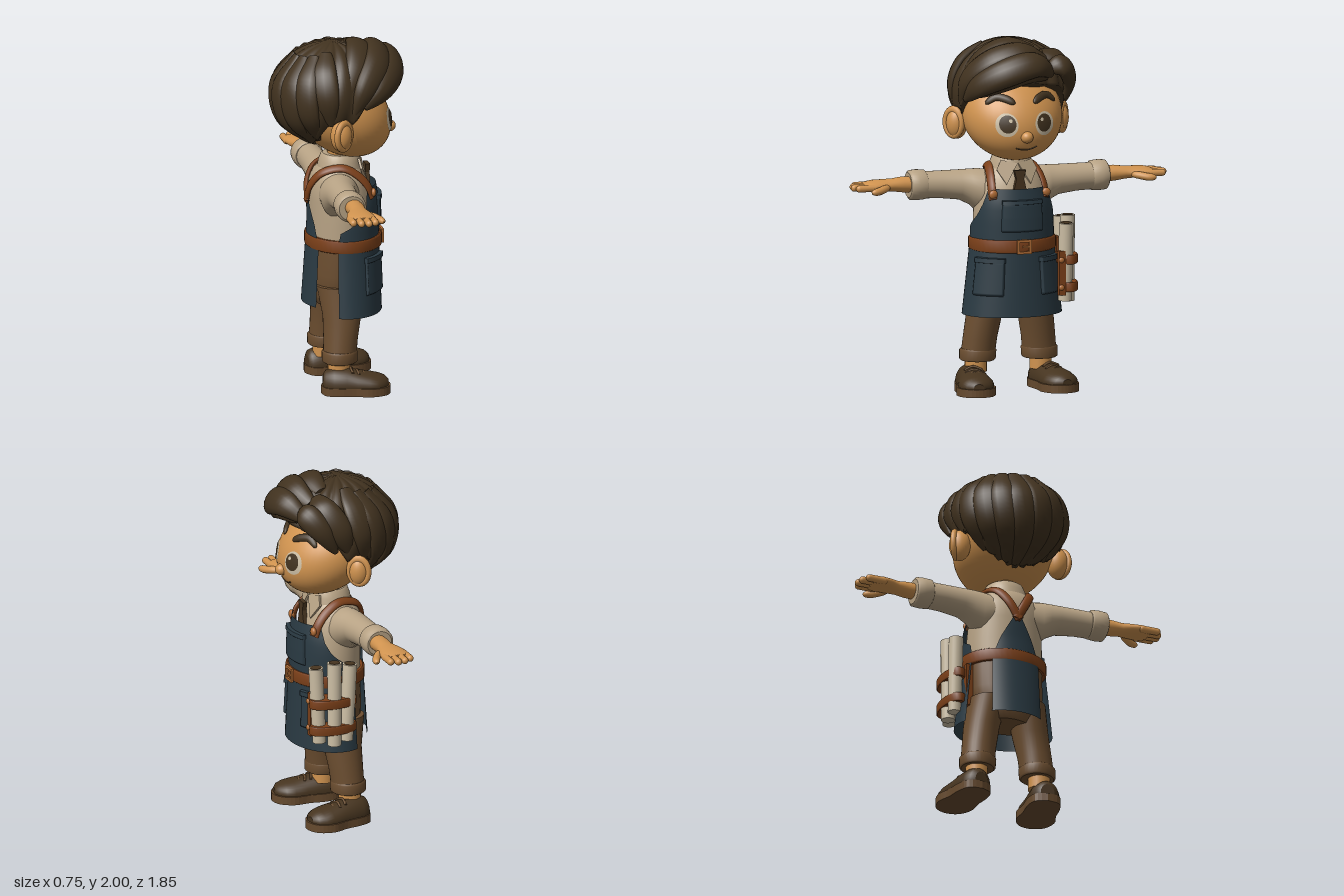
import * as THREE from 'three';

const V = (x, y, z) => new THREE.Vector3(x, y, z);
const RAD = Math.PI / 180;

// Skin a list of point rows; closed rows wrap round and get end caps
function skinRows(rows, closed = true) {
  const n = rows[0].length, pos = [], idx = [];
  rows.forEach(r => r.forEach(p => pos.push(p.x, p.y, p.z)));
  for (let r = 0; r < rows.length - 1; r++)
    for (let s = 0; s < (closed ? n : n - 1); s++) {
      const t = (s + 1) % n, a = r * n + s, b = a + n, c = (r + 1) * n + t, d = r * n + t;
      idx.push(a, b, c, a, c, d);
    }
  if (closed) [rows[0], rows[rows.length - 1]].forEach((row, end) => {
    const base = pos.length / 3, mid = V(0, 0, 0);
    row.forEach(p => { pos.push(p.x, p.y, p.z); mid.addScaledVector(p, 1 / n); });
    pos.push(mid.x, mid.y, mid.z);
    for (let s = 0; s < n; s++) {
      const t = (s + 1) % n;
      idx.push(base + n, base + (end ? t : s), base + (end ? s : t));
    }
  });
  const g = new THREE.BufferGeometry();
  g.setAttribute('position', new THREE.Float32BufferAttribute(pos, 3));
  g.setIndex(idx);
  g.computeVertexNormals();
  return g;
}

// Elliptical rings along an axis: y [t, x, z, rx, rz], x [t, y, z, ry, rz], z [t, x, y, rx, ry]
function loft(axis, rings, n = 32) {
  return skinRows(rings.map(([t, u, v, ru, rv]) => Array.from({ length: n }, (_, i) => {
    const c = Math.cos(i / n * 2 * Math.PI), s = Math.sin(i / n * 2 * Math.PI);
    if (axis === 'y') return V(u + ru * c, t, v + rv * s);
    if (axis === 'x') return V(t, u + ru * s, v + rv * c);
    return V(u + ru * s, v + rv * c, t);
  })));
}

// Flattened tube along a curve, lying flat around a centre
function sweep(points, centre, w, h, taper = () => 1, steps = 24, n = 12) {
  const curve = new THREE.CatmullRomCurve3(points.map(p => V(...p)));
  const rows = [];
  for (let i = 0; i <= steps; i++) {
    const t = i / steps, p = curve.getPoint(t), T = curve.getTangent(t), k = taper(t);
    const N = p.clone().sub(centre);
    N.addScaledVector(T, -N.dot(T)).normalize();
    const B = T.clone().cross(N);
    rows.push(Array.from({ length: n }, (_, j) => p.clone()
      .addScaledVector(B, k * w * Math.cos(j / n * 2 * Math.PI))
      .addScaledVector(N, k * h * Math.sin(j / n * 2 * Math.PI))));
  }
  return skinRows(rows);
}

function table(rows, x) {
  let i = 0;
  while (i < rows.length - 2 && x > rows[i + 1][0]) i++;
  const a = rows[i], b = rows[i + 1], f = THREE.MathUtils.clamp((x - a[0]) / (b[0] - a[0]), 0, 1);
  return a.map((v, k) => v + (b[k] - v) * f);
}

const flat = (pts, depth) => new THREE.ExtrudeGeometry(new THREE.Shape(pts.map(p => new THREE.Vector2(...p))), { depth, bevelEnabled: false });
const ball = (x, y, z, rx, ry, rz) => new THREE.SphereGeometry(1, 28, 20).scale(rx, ry, rz).translate(x, y, z);
const lockTaper = t => Math.pow(Math.sin(Math.PI * (0.1 + 0.87 * t)), 0.7);
const capTaper = t => Math.sqrt(Math.max(0.02, 1 - Math.pow(2 * t - 1, 4)));

export function createModel() {
  const root = new THREE.Group(), body = new THREE.Group();
  body.name = 'craftsman';
  body.rotation.y = Math.PI / 2;
  root.add(body);
  const mat = (name, color, side = THREE.FrontSide) => {
    const m = new THREE.MeshStandardMaterial({ color, side });
    m.name = name;
    return m;
  };
  const skin = mat('skin', 0xd0934f), hair = mat('dark brown hair', 0x41321f), shirt = mat('beige shirt', 0xb8a385);
  const cloth = mat('slate apron', 0x2a3a43, THREE.DoubleSide), trouser = mat('brown trousers', 0x6c4e30);
  const leather = mat('rust leather', 0x7c4019), shoe = mat('shoe brown', 0x46341f), sole = mat('sole brown', 0x664a2e);
  const paper = mat('pale paper', 0xcdbfa5), copper = mat('copper', 0xb06c35);
  const add = (name, geo, m) => {
    const mesh = new THREE.Mesh(geo, m);
    mesh.name = name;
    body.add(mesh);
  };
  // Adds a part and its mirror image with corrected winding
  const pair = (name, geo, m) => {
    add(name + 'Left', geo, m);
    const g = geo.clone().applyMatrix4(new THREE.Matrix4().makeScale(-1, 1, 1));
    const ix = g.index ? Array.from(g.index.array) : Array.from({ length: g.attributes.position.count }, (_, i) => i);
    for (let i = 0; i < ix.length; i += 3) [ix[i], ix[i + 1]] = [ix[i + 1], ix[i]];
    g.setIndex(ix);
    add(name + 'Right', g, m);
  };

  // Head and face
  const headZ = (x, y) => 0.02 + 0.27 * Math.sqrt(Math.max(0, 1 - (x / 0.285) ** 2 - ((y - 1.57) / 0.26) ** 2)) + 0.3 * (1.57 - y);
  const head = new THREE.SphereGeometry(1, 48, 36).scale(0.285, 0.26, 0.27);
  const hp = head.attributes.position;
  for (let i = 0; i < hp.count; i++) hp.setZ(i, hp.getZ(i) - 0.3 * hp.getY(i));
  head.computeVertexNormals();
  add('head', head.translate(0, 1.57, 0.02), skin);
  add('neck', new THREE.CylinderGeometry(0.075, 0.08, 0.18, 24).translate(0, 1.27, 0.02), skin);
  add('nose', ball(0, 1.465, 0.297, 0.035, 0.033, 0.036), skin);
  pair('ear', ball(0.297, 1.51, -0.045, 0.06, 0.09, 0.06), skin);
  pair('earRim', new THREE.TorusGeometry(0.055, 0.017, 10, 28).scale(1, 1.3, 1).rotateY(0.95).translate(0.32, 1.515, -0.035), skin);
  const decal = (x, y, rx, ry, off) => {
    const g = new THREE.RingGeometry(0.001, 1, 32, 5).scale(rx, ry, 1).translate(x, y, 0), p = g.attributes.position;
    for (let i = 0; i < p.count; i++) p.setZ(i, headZ(p.getX(i), p.getY(i)) + off);
    g.computeVertexNormals();
    return g;
  };
  pair('eyeWhite', decal(0.11, 1.535, 0.06, 0.066, 0.003), paper);
  pair('iris', decal(0.107, 1.54, 0.045, 0.05, 0.006), hair);
  pair('eyeGlint', decal(0.092, 1.56, 0.01, 0.01, 0.009), paper);
  const onFace = (pts, off) => pts.map(([x, y]) => [x, y, headZ(x, y) + off]);
  const face = V(0, 1.55, 0);
  pair('eyebrow', sweep(onFace([[0.055, 1.65], [0.1, 1.675], [0.15, 1.682], [0.205, 1.645]], 0.006), face, 0.022, 0.014, capTaper), hair);
  add('mouth', sweep(onFace([[-0.055, 1.4], [-0.02, 1.392], [0.02, 1.392], [0.065, 1.407]], 0), face, 0.004, 0.004), shoe);

  // Hair cap: ridged ellipsoid with a hairline that varies round the head
  const hairAt = (a, polar, k = 1) => V(0.315 * k * Math.sin(polar) * Math.sin(a), 1.68 + 0.3 * k * Math.cos(polar), -0.03 + 0.325 * k * Math.sin(polar) * Math.cos(a));
  const line = [[0, 1.77], [45, 1.73], [68, 1.67], [80, 1.57], [90, 1.6], [105, 1.57], [125, 1.45], [150, 1.41], [180, 1.4]];
  const hairEdge = a => Math.acos((table(line, Math.abs(Math.atan2(Math.sin(a), Math.cos(a))) / RAD)[1] - 1.68) / 0.3);
  const capRows = [];
  for (let r = 0; r <= 28; r++) capRows.push(Array.from({ length: 144 }, (_, i) => {
    const a = i / 144 * 2 * Math.PI, v = Math.max(0.02, Math.min(1, r / 26));
    const ridge = 0.05 * (Math.abs(Math.sin(8 * a + 2.5 * v)) - 0.5) * Math.min(1, 2.5 * v);
    return hairAt(a, hairEdge(a) * v, r > 26 ? 1 - 0.14 * (r - 26) : 1 + ridge);
  }));
  add('hairCap', skinRows(capRows), hair);
  const skull = V(0, 1.65, 0);
  const locks = [
    [[[0.13, 1.8, 0.25], [0, 1.82, 0.29], [-0.14, 1.77, 0.26], [-0.25, 1.69, 0.17]], 0.06, 0.04],
    [[[0.16, 1.82, 0.24], [0.05, 1.87, 0.295], [-0.12, 1.83, 0.285], [-0.25, 1.75, 0.2], [-0.295, 1.66, 0.09]], 0.085, 0.055],
    [[[0.14, 1.88, 0.18], [0, 1.925, 0.22], [-0.17, 1.88, 0.19], [-0.28, 1.77, 0.1], [-0.3, 1.63, 0.03]], 0.085, 0.05],
    [[[0.1, 1.93, 0.1], [-0.05, 1.955, 0.11], [-0.2, 1.88, 0.07], [-0.3, 1.73, -0.02]], 0.08, 0.04],
    [[[0.15, 1.84, 0.24], [0.22, 1.85, 0.24], [0.285, 1.77, 0.18], [0.295, 1.63, 0.09]], 0.07, 0.045],
    [[[0.13, 1.91, 0.15], [0.23, 1.87, 0.14], [0.3, 1.76, 0.07], [0.3, 1.62, 0.01]], 0.08, 0.04],
  ];
  locks.forEach(([pts, w, h], i) => add('frontLock' + (i + 1), sweep(pts, skull, w, h, lockTaper, 32, 16), hair));
  for (let i = 0; i < 9; i++) {
    const a = (102 + i * 19.5) * RAD, e = hairEdge(a);
    const pts = [0.25, 0.5, 0.75, 1.02].map((f, k) => hairAt(a - 0.25 + 0.08 * k, e * f, 1).toArray());
    add('backLock' + (i + 1), sweep(pts, skull, 0.075, 0.032, lockTaper, 24, 12), hair);
  }

  // Shirt
  add('shirtBody', loft('y', [[0.78, 0, 0.02, 0.215, 0.175], [0.95, 0, 0.02, 0.218, 0.177], [1.08, 0, 0.01, 0.21, 0.17], [1.17, 0, 0, 0.2, 0.16],
    [1.23, 0, 0, 0.165, 0.135], [1.27, 0, 0.01, 0.12, 0.11], [1.3, 0, 0.02, 0.08, 0.08]], 40), shirt);
  pair('sleeve', loft('x', [[0.1, 1.13, -0.02, 0.11, 0.11], [0.18, 1.125, -0.025, 0.125, 0.11], [0.23, 1.148, -0.035, 0.1, 0.095],
    [0.29, 1.162, -0.04, 0.084, 0.085], [0.4, 1.168, -0.045, 0.077, 0.077], [0.52, 1.17, -0.045, 0.075, 0.075]]), shirt);
  pair('sleeveCuff', loft('x', [[0.482, 1.172, -0.05, 0.072, 0.074], [0.49, 1.172, -0.05, 0.083, 0.085], [0.535, 1.172, -0.05, 0.086, 0.088],
    [0.573, 1.172, -0.05, 0.083, 0.085], [0.582, 1.172, -0.05, 0.07, 0.072]]), shirt);
  add('collar', loft('y', [[1.235, 0, 0.01, 0.135, 0.125], [1.29, 0, 0.012, 0.118, 0.118], [1.325, 0, 0.015, 0.104, 0.108], [1.332, 0, 0.015, 0.094, 0.098]]), shirt);
  pair('collarPoint', flat([[0.008, 0.12], [0.07, 0], [0.125, 0.085], [0.1, 0.14]], 0.014).rotateX(-0.3).rotateY(0.25).translate(0, 1.175, 0.16), shirt);
  add('tie', flat([[-0.034, 1.26], [-0.022, 1.21], [-0.042, 1.13], [0.042, 1.13], [0.022, 1.21], [0.034, 1.26]], 0.025).translate(0, 0, 0.155), shoe);

  // Forearms and hands
  pair('hand', loft('x', [[0.5, 1.175, -0.04, 0.045, 0.045], [0.62, 1.18, -0.038, 0.044, 0.052], [0.68, 1.18, -0.04, 0.036, 0.05], [0.73, 1.18, -0.045, 0.033, 0.068],
    [0.79, 1.18, -0.047, 0.031, 0.08], [0.83, 1.178, -0.047, 0.025, 0.078], [0.845, 1.178, -0.047, 0.015, 0.065]]), skin);
  [[-0.108, 0.895], [-0.067, 0.918], [-0.026, 0.925], [0.014, 0.908]].forEach(([z, tip], i) =>
    pair('finger' + (i + 1), new THREE.CapsuleGeometry(0.02, 0.09, 6, 14).rotateZ(Math.PI / 2).translate(tip - 0.065, 1.176, z), skin));
  pair('thumb', sweep([[0.71, 1.175, 0], [0.75, 1.17, 0.035], [0.79, 1.163, 0.06], [0.835, 1.16, 0.075]], V(0.75, 1, 0), 0.022, 0.021, capTaper), skin);

  // Apron, as rows of height, radii, centre and wrap angle
  const apronRows = [[0.44, 0.285, 0.215, 0.03, 112], [0.85, 0.238, 0.2, 0.03, 112], [0.92, 0.237, 0.2, 0.03, 108], [0.96, 0.236, 0.2, 0.03, 88],
    [1.0, 0.234, 0.2, 0.03, 74], [1.07, 0.225, 0.198, 0.03, 63], [1.16, 0.202, 0.185, 0.03, 57]];
  const backRows = [[0.48, 0.24, 0.215, 0.015, 38], [0.83, 0.235, 0.195, 0.02, 36], [0.95, 0.23, 0.188, 0.02, 24], [1.09, 0.22, 0.182, 0.01, 4]];
  const panel = (rows, y0, y1, lo, hi, off = 0, dir = 1) => skinRows(Array.from({ length: 25 }, (_, r) => {
    const y = y0 + (y1 - y0) * r / 24, [, rx, rz, cz, wrap] = table(rows, y);
    return Array.from({ length: 33 }, (_, s) => {
      const a = RAD * (lo === undefined ? wrap * (1 - s / 16) : hi + (lo - hi) * s / 32);
      const o = r % 24 === 0 || s % 32 === 0 ? 0 : off;
      return V((rx + o) * Math.sin(a) * dir, y, cz + dir * (rz + o) * Math.cos(a));
    });
  }), false);
  add('apronFront', panel(apronRows, 0.44, 1.16), cloth);
  add('apronBack', panel(backRows, 0.48, 1.09, undefined, undefined, 0, -1), cloth);
  add('bibPocket', panel(apronRows, 0.92, 1.09, -30, 30, 0.014), cloth);
  add('bibPocketHem', panel(apronRows, 1.075, 1.1, -31, 31, 0.022), cloth);
  pair('skirtPocket', panel(apronRows, 0.56, 0.76, 24, 68, 0.014), cloth);
  pair('skirtPocketHem', panel(apronRows, 0.745, 0.775, 23, 69, 0.022), cloth);

  // Shoulder straps, belt and buckle
  pair('shoulderStrap', sweep([[0.155, 1.1, 0.165], [0.155, 1.17, 0.138], [0.145, 1.235, 0.078], [0.13, 1.272, 0], [0.1, 1.245, -0.11], [0.05, 1.165, -0.165], [-0.01, 1.06, -0.175]],
    V(0, 1.1, 0), 0.026, 0.013, undefined, 40), leather);
  pair('strapButton', ball(0.155, 1.13, 0.17, 0.025, 0.025, 0.016), copper);
  add('belt', loft('y', [[0.803, 0, 0.033, 0.236, 0.204], [0.81, 0, 0.033, 0.247, 0.214], [0.868, 0, 0.033, 0.247, 0.214], [0.875, 0, 0.033, 0.236, 0.204]], 48), leather);
  const frame = new THREE.Shape([[-0.042, -0.04], [0.042, -0.04], [0.042, 0.04], [-0.042, 0.04]].map(p => new THREE.Vector2(...p)));
  frame.holes.push(new THREE.Path([[-0.028, -0.026], [-0.028, 0.026], [0.028, 0.026], [0.028, -0.026]].map(p => new THREE.Vector2(...p))));
  add('buckle', new THREE.ExtrudeGeometry(frame, { depth: 0.014, bevelEnabled: false }).translate(0, 0.84, 0.243), copper);
  add('bucklePin', new THREE.BoxGeometry(0.04, 0.01, 0.012).translate(0.01, 0.84, 0.251), copper);

  // Trousers
  add('hips', loft('y', [[0.47, 0, -0.01, 0.14, 0.11], [0.53, 0, -0.01, 0.2, 0.145], [0.66, 0, -0.005, 0.215, 0.155], [0.82, 0, 0.01, 0.215, 0.165]]), trouser);
  pair('trouserLeg', loft('y', [[0.19, 0.182, -0.028, 0.096, 0.092], [0.3, 0.17, -0.02, 0.096, 0.096], [0.43, 0.15, -0.008, 0.1, 0.108], [0.6, 0.12, -0.01, 0.105, 0.135]]), trouser);
  pair('trouserCuff', loft('y', [[0.17, 0.182, -0.028, 0.092, 0.09], [0.178, 0.182, -0.028, 0.102, 0.099], [0.228, 0.18, -0.028, 0.104, 0.1], [0.238, 0.18, -0.027, 0.094, 0.092]]), trouser);
  pair('ankle', new THREE.CylinderGeometry(0.062, 0.062, 0.1, 20).translate(0.19, 0.155, -0.035), skin);

  // Shoes, turned slightly outward
  const place = g => g.rotateY(0.16).translate(0.222, 0, 0);
  const upper = loft('z', [[-0.13, 0, 0.05, 0.04, 0.055], [-0.115, 0, 0.05, 0.066, 0.08], [-0.07, 0, 0.05, 0.085, 0.095], [0, 0, 0.05, 0.088, 0.095], [0.06, 0, 0.05, 0.093, 0.08],
    [0.13, 0, 0.05, 0.102, 0.068], [0.18, 0, 0.05, 0.092, 0.058], [0.215, 0, 0.05, 0.068, 0.045], [0.235, 0, 0.05, 0.03, 0.025]]);
  const up = upper.attributes.position;
  for (let i = 0; i < up.count; i++) up.setY(i, Math.max(0.035, up.getY(i)));
  upper.computeVertexNormals();
  pair('shoeUpper', place(upper), shoe);
  const outline = new THREE.Shape(new THREE.SplineCurve([[0, 0.14], [0.07, 0.115], [0.094, 0.04], [0.096, -0.05], [0.11, -0.14], [0.075, -0.22], [0, -0.248],
    [-0.075, -0.22], [-0.11, -0.14], [-0.096, -0.05], [-0.094, 0.04], [-0.07, 0.115], [0, 0.14]].map(p => new THREE.Vector2(...p))).getPoints(48));
  pair('shoeSole', place(new THREE.ExtrudeGeometry(outline, { depth: 0.046, bevelEnabled: false }).rotateX(-Math.PI / 2)), sole);
  for (let i = 0; i < 3; i++) {
    const z = 0.025 + i * 0.035, y = 0.142 - i * 0.011;
    pair('lace' + (i + 1), place(sweep([[-0.05, y - 0.018, z + 0.01], [0, y, z], [0.05, y - 0.018, z + 0.01]], V(0, 0, z), 0.007, 0.007)), sole);
  }

  // Rolled papers in a leather carrier on the left hip
  [[0.262, 0.19, 0.515, 0.955], [0.302, 0.105, 0.5, 0.985], [0.295, 0.02, 0.52, 0.965]].forEach(([x, z, y0, y1], i) => {
    const tilt = g => g.rotateX((i - 1) * -0.05).translate(x, (y0 + y1) / 2, z), h = y1 - y0;
    add('paperRoll' + (i + 1), tilt(new THREE.CylinderGeometry(0.041, 0.038, h, 24)), paper);
    add('paperRollHollow' + (i + 1), tilt(new THREE.CylinderGeometry(0.031, 0.031, 0.006, 24).translate(0, h / 2, 0)), shoe);
  });
  [0.75, 0.595].forEach((y, i) => {
    add('carrierBand' + (i + 1), loft('y', [[y - 0.026, 0.282, 0.105, 0.06, 0.134], [y - 0.02, 0.282, 0.105, 0.066, 0.14], [y + 0.02, 0.282, 0.105, 0.066, 0.14], [y + 0.026, 0.282, 0.105, 0.06, 0.134]]), leather);
    add('carrierStud' + (i + 1), ball(0.225, y, 0.232, 0.016, 0.016, 0.01), copper);
  });
  [0.215, -0.02].forEach((z, i) => add('carrierStrap' + (i + 1), new THREE.BoxGeometry(0.04, 0.25, 0.03).translate(0.232, 0.675, z), leather));
  add('carrierHanger', new THREE.BoxGeometry(0.02, 0.1, 0.06).translate(0.25, 0.81, 0.07), leather);
  return root;
}
